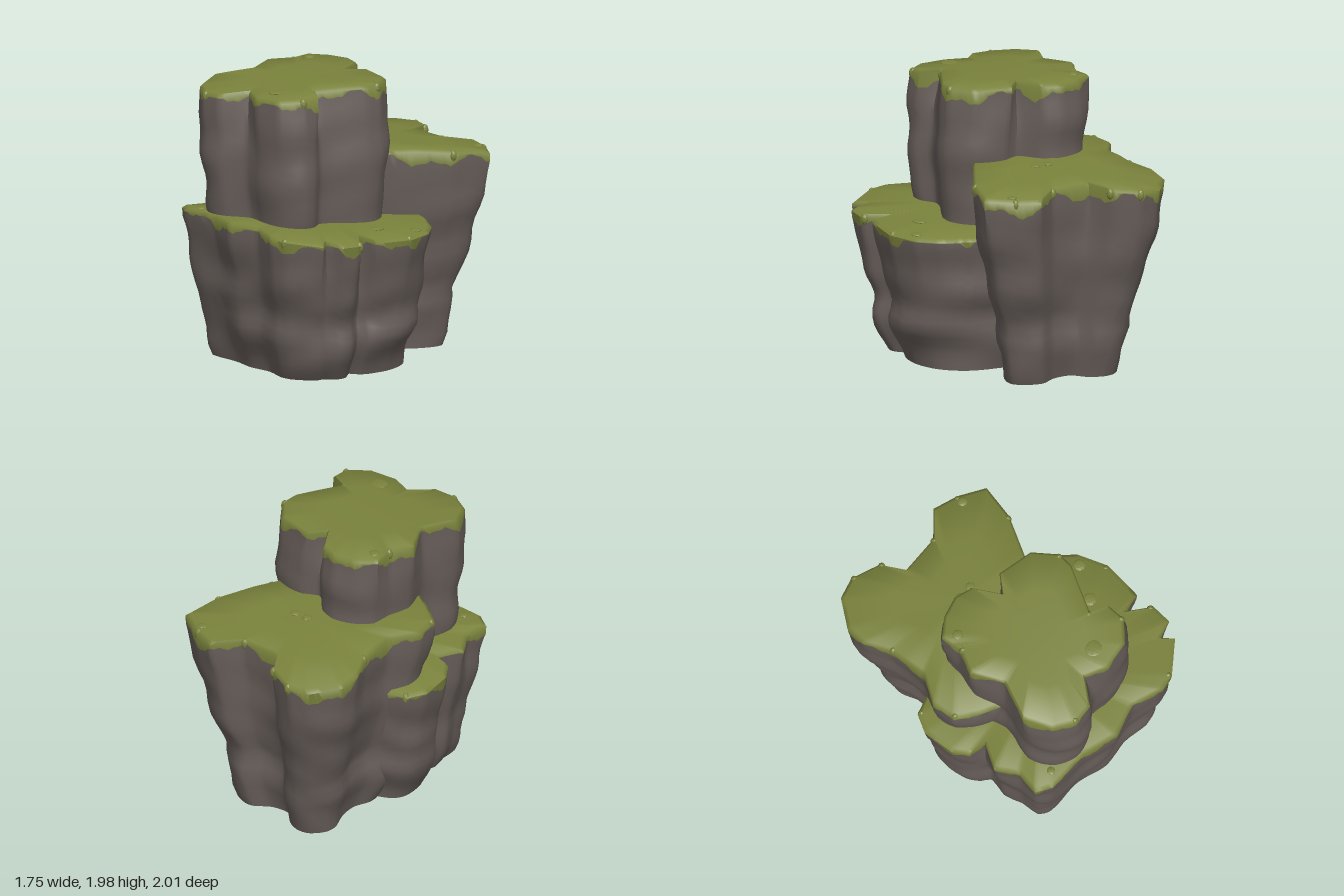
import * as THREE from 'three';
import { toCreasedNormals } from 'three/addons/utils/BufferGeometryUtils.js';

const rock = new THREE.MeshStandardMaterial({ color: 0x675e5a, side: THREE.DoubleSide });
rock.name = 'rock grey';
const moss = new THREE.MeshStandardMaterial({ color: 0x7a823c, side: THREE.DoubleSide });
moss.name = 'moss green';

const ROWS = 16; // rows of bare rock
const BLUR = 4; // columns averaged each side to soften the lower wall
const { lerp, clamp, smoothstep } = THREE.MathUtils;

// Taper profile: list of [height, scale]
function scaleAt(taper, y) {
  const i = taper.findIndex(([h]) => y <= h);
  if (i < 0) return taper[taper.length - 1][1];
  if (i === 0) return taper[0][1];
  const [y0, s0] = taper[i - 1], [y1, s1] = taper[i];
  return lerp(s0, s1, (y - y0) / (y1 - y0));
}

// One lobed block of rock, open below, with a mossy top
function makeTier({ name, centre: [cx, cz], base, seed, shift, top, drip, taper, outline }) {
  const columns = [];
  outline.forEach(([x, z], i) => {
    const [nx, nz] = outline[(i + 1) % outline.length];
    const steps = Math.ceil(Math.hypot(nx - x, nz - z) / 0.035);
    for (let k = 0; k < steps; k++) columns.push([lerp(x, nx, k / steps), lerp(z, nz, k / steps)]);
  });
  const n = columns.length;
  const softened = columns.map((_, i) => {
    const sum = [0, 0];
    for (let k = -BLUR; k <= BLUR; k++) {
      const [x, z] = columns[(i + k + n) % n];
      sum[0] += x;
      sum[1] += z;
    }
    return sum.map((v) => v / (2 * BLUR + 1));
  });
  const rowCount = ROWS + 5;
  const positions = [];

  // Cap rings, shoulder, ragged moss edge, then the rock wall
  for (let r = 0; r < rowCount; r++) {
    columns.forEach(([x, z], i) => {
      if (r < 3) {
        const s = [0, 0.55, 0.965][r];
        const px = lerp(cx, x, s), pz = lerp(cz, z, s);
        positions.push(px, top(px, pz), pz);
        return;
      }
      const h = top(x, z);
      const ragged = Math.sin(i * 0.3 + seed * 2) * 0.032 + Math.sin(i * 0.75 + seed) * 0.022 + Math.sin(i * 2.3) * 0.008;
      const edge = h - Math.max(0.027, drip(x, z) + ragged);
      const y = r === 3 ? h - 0.02 : lerp(edge, base, (r - 4) / ROWS);
      const fade = clamp((h - y) / 0.4, 0, 1);
      const soft = 0.75 * smoothstep(h - y, 0.02, 0.45);
      const wave = 0.018 * Math.sin(y * 11 + 4 * x + 3 * z + seed) + 0.01 * Math.sin(y * 19 - 5 * x + 4 * z);
      const s = scaleAt(taper, y) + (wave + 0.012) * fade;
      const [sx, sz] = softened[i];
      positions.push(lerp(cx, lerp(x, sx, soft), s) + shift * fade, y, lerp(cz, lerp(z, sz, soft), s));
    });
  }

  const index = [];
  let mossEnd = 0;
  for (let r = 0; r < rowCount - 1; r++) {
    for (let i = 0; i < n; i++) {
      const a = r * n + i, b = r * n + (i + 1) % n;
      if (r > 0) index.push(a, b, a + n);
      index.push(b, b + n, a + n);
    }
    if (r === 3) mossEnd = index.length;
  }
  const geometry = new THREE.BufferGeometry();
  geometry.setAttribute('position', new THREE.Float32BufferAttribute(positions, 3));
  geometry.setIndex(index);
  geometry.addGroup(0, mossEnd, 0);
  geometry.addGroup(mossEnd, index.length - mossEnd, 1);
  const mesh = new THREE.Mesh(toCreasedNormals(geometry, 1), [moss, rock]);
  mesh.name = name;
  return mesh;
}

// Moss lumps: tufts hang at chosen outline corners, patches [x, z, radius] lie on the top
function makeLumps({ centre: [cx, cz], top, outline, tufts, patches }) {
  const group = new THREE.Group();
  group.name = 'mossLumps';
  const lump = toCreasedNormals(new THREE.IcosahedronGeometry(1, 1), 0.3);
  const add = (name, x, z, radius, height, drop) => {
    const mesh = new THREE.Mesh(lump, moss);
    mesh.name = name;
    mesh.position.set(x, top(x, z) - drop, z);
    mesh.scale.set(radius, height, radius);
    mesh.rotation.y = x * 7 + z * 5;
    group.add(mesh);
  };
  tufts.forEach((i) => add('mossTuft', lerp(cx, outline[i][0], 0.97), lerp(cz, outline[i][1], 0.97), 0.027, 0.042, 0.036));
  patches.forEach(([x, z, radius]) => add('mossPatch', x, z, radius, 0.01, 0));
  return group;
}

// Each tier: lobed top outline in x and z, rules for top height and moss depth, and taper
const lowTier = {
  name: 'lowTier', centre: [0, 0.3], base: 0, seed: 1, shift: 0,
  top: (x, z) => 1.005 + 0.042 * z - 0.045 * x * x,
  drip: (x, z) => (z < 0 && x > 0 ? 0.01 : 0.052),
  taper: [[0, 0.75], [0.28, 0.87], [0.42, 0.87], [0.55, 0.92], [0.75, 0.95], [0.95, 1]],
  outline: [[0.45, -0.35], [0.64, -0.26], [0.77, -0.14], [0.86, 0.06], [0.85, 0.36], [0.71, 0.39],
    [0.87, 0.5], [0.87, 0.65], [0.74, 0.7], [0.81, 0.77], [0.6, 0.95], [0.48, 0.98], [0.25, 0.92],
    [0.02, 1], [-0.23, 0.94], [-0.55, 0.96], [-0.66, 0.9], [-0.64, 0.73], [-0.74, 0.58], [-0.65, 0.4],
    [-0.78, 0.38], [-0.85, 0.28], [-0.88, 0.05], [-0.82, -0.08], [0, -0.4]],
  tufts: [3, 6, 10, 23],
  patches: [[0.72, -0.07, 0.042], [0.59, 0.16, 0.048], [-0.48, 0.87, 0.03]],
};

const middleTier = {
  name: 'middleTier', centre: [-0.15, -0.35], base: 0, seed: 2, shift: 0,
  top: (x, z) => 1.45 - 0.1 * Math.max(0, -z - 0.3) - 0.08 * Math.max(0, -x - 0.4),
  drip: (x, z) => (z > 0.2 ? 0 : 0.075),
  taper: [[0, 0.57], [0.28, 0.7], [0.42, 0.67], [0.6, 0.78], [0.9, 0.9], [1.3, 1]],
  outline: [[-0.55, -1], [-0.35, -0.93], [-0.25, -0.77], [0.04, -0.8], [0.2, -0.96], [0.38, -0.91],
    [0.56, -0.81], [0.52, -0.55], [0.32, -0.12], [-0.1, 0.3], [-0.5, 0.4], [-0.65, 0.33],
    [-0.78, 0.24], [-0.81, 0.06], [-0.7, -0.14], [-0.74, -0.42], [-0.83, -0.6], [-0.83, -0.75],
    [-0.7, -0.95]],
  tufts: [0, 1, 3, 5, 7, 12, 15],
  patches: [[-0.14, -0.35, 0.035], [-0.04, -0.36, 0.035], [0.37, -0.85, 0.035]],
};

const highTier = {
  name: 'highTier', centre: [-0.08, 0.35], base: 0.75, seed: 3, shift: 0.025,
  top: (x, z) => 1.965 - 0.1 * Math.max(0, z - 0.1) ** 2,
  drip: (x, z) => (z > 0.7 && Math.abs(x) < 0.28 ? 0.03 : 0.07),
  taper: [[0.75, 0.88], [1.1, 0.97], [1.4, 1.01], [1.7, 1.03], [1.9, 1]],
  outline: [[-0.3, -0.25], [-0.17, -0.22], [-0.05, -0.04], [0.04, -0.16], [0.3, -0.12], [0.43, 0.03],
    [0.43, 0.14], [0.28, 0.48], [0.41, 0.53], [0.42, 0.66], [0.3, 0.79], [0.1, 0.83], [-0.06, 0.77],
    [-0.18, 0.94], [-0.33, 0.96], [-0.48, 0.88], [-0.58, 0.7], [-0.49, 0.43], [-0.61, 0.22],
    [-0.54, 0.05], [-0.57, -0.1], [-0.45, -0.2]],
  tufts: [5, 7, 9, 14, 19],
  patches: [[0.12, 0.67, 0.062], [-0.48, -0.04, 0.036]],
};

export function createModel() {
  const model = new THREE.Group();
  model.name = 'mossyRock';
  for (const tier of [lowTier, middleTier, highTier]) model.add(makeTier(tier), makeLumps(tier));
  return model;
}
